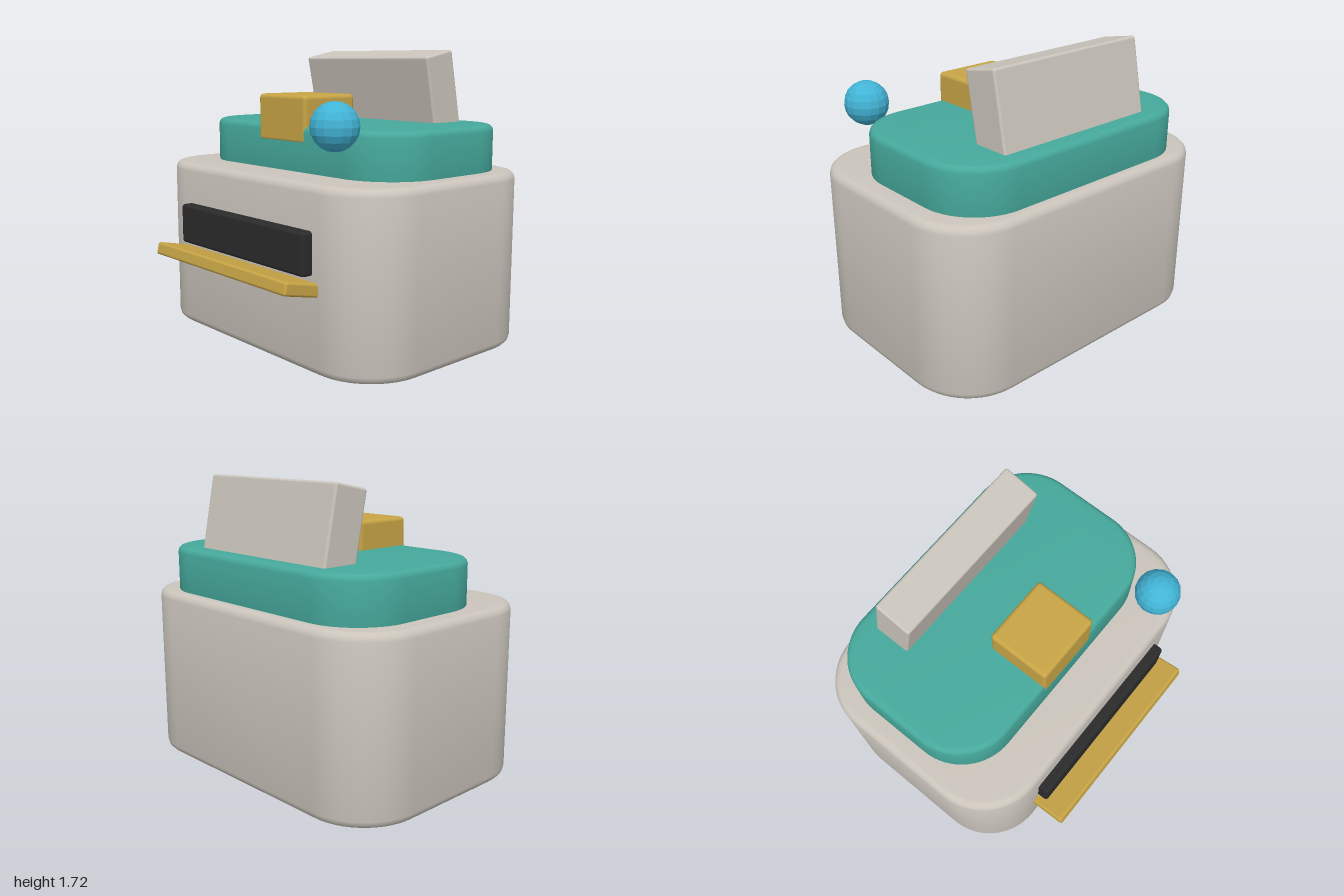
import * as THREE from 'three';
import { toCreasedNormals } from 'three/addons/utils/BufferGeometryUtils.js';
import { RoundedBoxGeometry } from 'three/addons/geometries/RoundedBoxGeometry.js';

function material(name, color) {
  const m = new THREE.MeshStandardMaterial({ color });
  m.name = name;
  return m;
}

// Upright block with a rounded-rectangle plan and softened top and bottom rims
function roundedBlock(width, depth, y0, y1, radius, bevel) {
  const w = width / 2 - bevel, d = depth / 2 - bevel, r = radius - bevel;
  const shape = new THREE.Shape();
  shape.absarc(w - r, d - r, r, 0, Math.PI / 2);
  shape.absarc(-w + r, d - r, r, Math.PI / 2, Math.PI);
  shape.absarc(-w + r, -d + r, r, Math.PI, Math.PI * 1.5);
  shape.absarc(w - r, -d + r, r, Math.PI * 1.5, Math.PI * 2);
  shape.closePath();
  const geometry = new THREE.ExtrudeGeometry(shape, {
    depth: y1 - y0 - 2 * bevel, curveSegments: 8,
    bevelEnabled: true, bevelSize: bevel, bevelThickness: bevel, bevelSegments: 3,
  });
  geometry.rotateX(-Math.PI / 2);
  geometry.translate(0, y0 + bevel, 0);
  return toCreasedNormals(geometry, 0.6);
}

export function createModel() {
  const model = new THREE.Group();
  model.name = 'countertopMachine';
  const cream = material('cream', 0xcbc5bc);
  const teal = material('teal', 0x46a99c);
  const gold = material('gold', 0xc8a546);
  const black = material('black', 0x2b2b2c);
  const blue = material('blue', 0x42b4d6);

  function add(name, geometry, mat, x, y, z, tilt = 0) {
    const mesh = new THREE.Mesh(geometry, mat);
    mesh.name = name;
    mesh.position.set(x, y, z);
    mesh.rotation.x = tilt;
    model.add(mesh);
  }

  // Housing and lid
  add('body', roundedBlock(2, 1.41, 0, 1.025, 0.37, 0.045), cream, 0, 0, -0.115);
  add('lid', roundedBlock(1.75, 1.07, 0.95, 1.29, 0.34, 0.035), teal, 0, 0, -0.213);

  // Leaning panel behind and latch block at the front of the lid
  add('backPanel', new RoundedBoxGeometry(1.07, 0.6, 0.23, 2, 0.015), cream, 0, 1.406, -0.5, 0.2);
  add('latchBlock', new RoundedBoxGeometry(0.43, 0.28, 0.385, 2, 0.025), gold, -0.003, 1.323, 0.132);

  // Front slot and the sloping tray below it
  add('slot', new RoundedBoxGeometry(1.17, 0.24, 0.12, 2, 0.02), black, 0, 0.662, 0.595);
  add('tray', new RoundedBoxGeometry(1.26, 0.075, 0.3, 2, 0.015), gold, 0, 0.488, 0.66, -0.22);

  // Faceted knob
  const knob = new THREE.SphereGeometry(0.132, 16, 10).toNonIndexed();
  knob.computeVertexNormals();
  add('knob', knob, blue, 0.632, 1.322, 0.475);

  return model;
}
